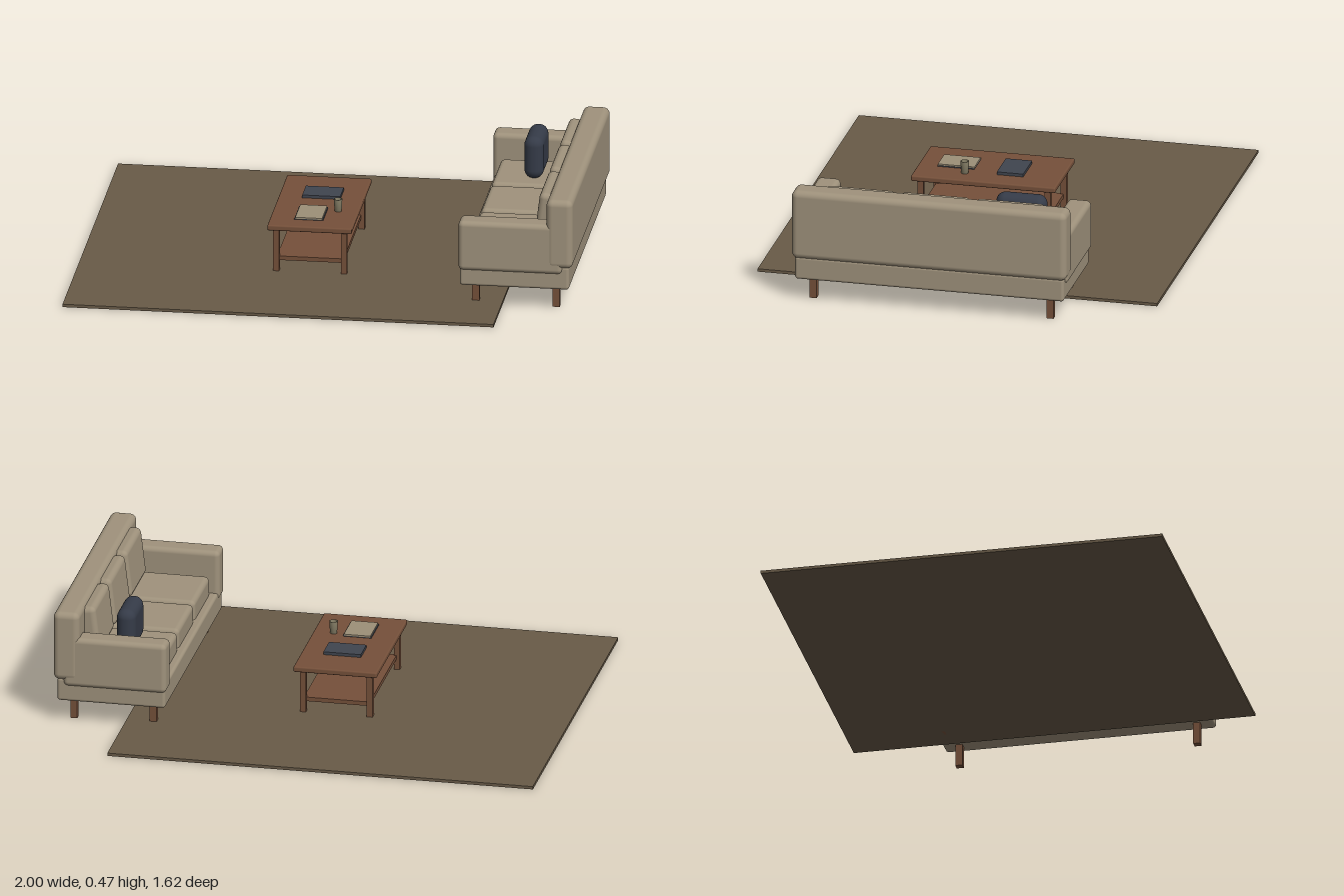
import * as THREE from 'three';
import { RoundedBoxGeometry } from 'three/addons/geometries/RoundedBoxGeometry.js';

const material = (name, color) => {
  const m = new THREE.MeshStandardMaterial({ color });
  m.name = name;
  return m;
};

export function createModel() {
  const fabric = material('beige fabric', 0x9f927c);
  const wood = material('brown wood', 0x75503a);
  const rugWool = material('rug wool', 0x685a47);
  const navy = material('navy fabric', 0x353b48);
  const slate = material('slate cover', 0x40454f);
  const paper = material('pale cover', 0x9c8f78);
  const clay = material('olive clay', 0x878068);
  clay.side = THREE.DoubleSide;

  const model = new THREE.Group();
  model.name = 'livingRoomSet';
  const group = (name) => {
    const g = new THREE.Group();
    g.name = name;
    model.add(g);
    return g;
  };

  // Box given by its min and max corners, with optional rounded edges
  const box = (parent, name, mat, [x0, y0, z0], [x1, y1, z1], radius = 0) => {
    const size = [x1 - x0, y1 - y0, z1 - z0];
    const geometry = radius
      ? new RoundedBoxGeometry(...size, 4, radius)
      : new THREE.BoxGeometry(...size);
    const mesh = new THREE.Mesh(geometry, mat);
    mesh.name = name;
    mesh.position.set((x0 + x1) / 2, (y0 + y1) / 2, (z0 + z1) / 2);
    parent.add(mesh);
    return mesh;
  };

  box(model, 'rug', rugWool, [-1, 0, -0.81], [0.715, 0.012, 0.81]);

  // Sofa facing the table, centred on z = 0.05
  const sofa = group('sofa');
  const mid = 0.05;
  box(sofa, 'sofaBase', fabric, [0.55, 0.09, mid - 0.545], [0.985, 0.186, mid + 0.545], 0.012);
  box(sofa, 'sofaBack', fabric, [0.895, 0.18, mid - 0.557], [1, 0.465, mid + 0.557], 0.025);
  for (const side of [-1, 1]) {
    const inner = mid + side * 0.46, outer = mid + side * 0.555;
    box(sofa, 'armrest', fabric, [0.545, 0.155, Math.min(inner, outer)],
      [0.96, 0.36, Math.max(inner, outer)], 0.02);
    for (const x of [0.608, 0.928]) {
      const z = mid + side * 0.48;
      box(sofa, 'sofaLeg', wood, [x - 0.014, 0, z - 0.014], [x + 0.014, 0.095, z + 0.014]);
    }
  }

  // Three seat cushions with leaning back cushions
  for (const i of [-1, 0, 1]) {
    const z = mid + i * 0.304;
    box(sofa, 'seatCushion', fabric, [0.58, 0.17, z - 0.144], [0.9, 0.265, z + 0.144], 0.02);
    const back = box(sofa, 'backCushion', fabric,
      [0.843, 0.255, z - 0.142], [0.913, 0.451, z + 0.142], 0.022);
    back.rotation.z = -0.12;
  }
  box(sofa, 'throwPillow', navy, [0.7, 0.262, -0.37], [0.777, 0.437, -0.165], 0.037);

  // Coffee table with a lower shelf
  const table = group('coffeeTable');
  box(table, 'tableTop', wood, [-0.25, 0.187, -0.245], [0.086, 0.21, 0.34], 0.006);
  box(table, 'tableShelf', wood, [-0.215, 0.054, -0.21], [0.05, 0.071, 0.307]);
  for (const x of [-0.217, 0.052]) {
    for (const z of [-0.21, 0.306]) {
      box(table, 'tableLeg', wood, [x - 0.012, 0.012, z - 0.012], [x + 0.012, 0.19, z + 0.012]);
    }
  }

  // Books and a cup on the table
  box(table, 'darkBook', slate, [-0.155, 0.21, -0.095], [-0.004, 0.222, 0.012]);
  box(table, 'bookCover', slate, [-0.153, 0.21, 0.112], [-0.038, 0.213, 0.26]);
  box(table, 'bookPages', paper, [-0.149, 0.213, 0.112], [-0.042, 0.219, 0.26]);
  const profile = [[0, 0], [0.014, 0], [0.017, 0.05], [0.014, 0.05], [0.012, 0.008], [0, 0.008]]
    .map(([r, y]) => new THREE.Vector2(r, y));
  const cup = new THREE.Mesh(new THREE.LatheGeometry(profile, 20), clay);
  cup.name = 'cup';
  cup.position.set(0.005, 0.21, 0.14);
  table.add(cup);

  return model;
}
